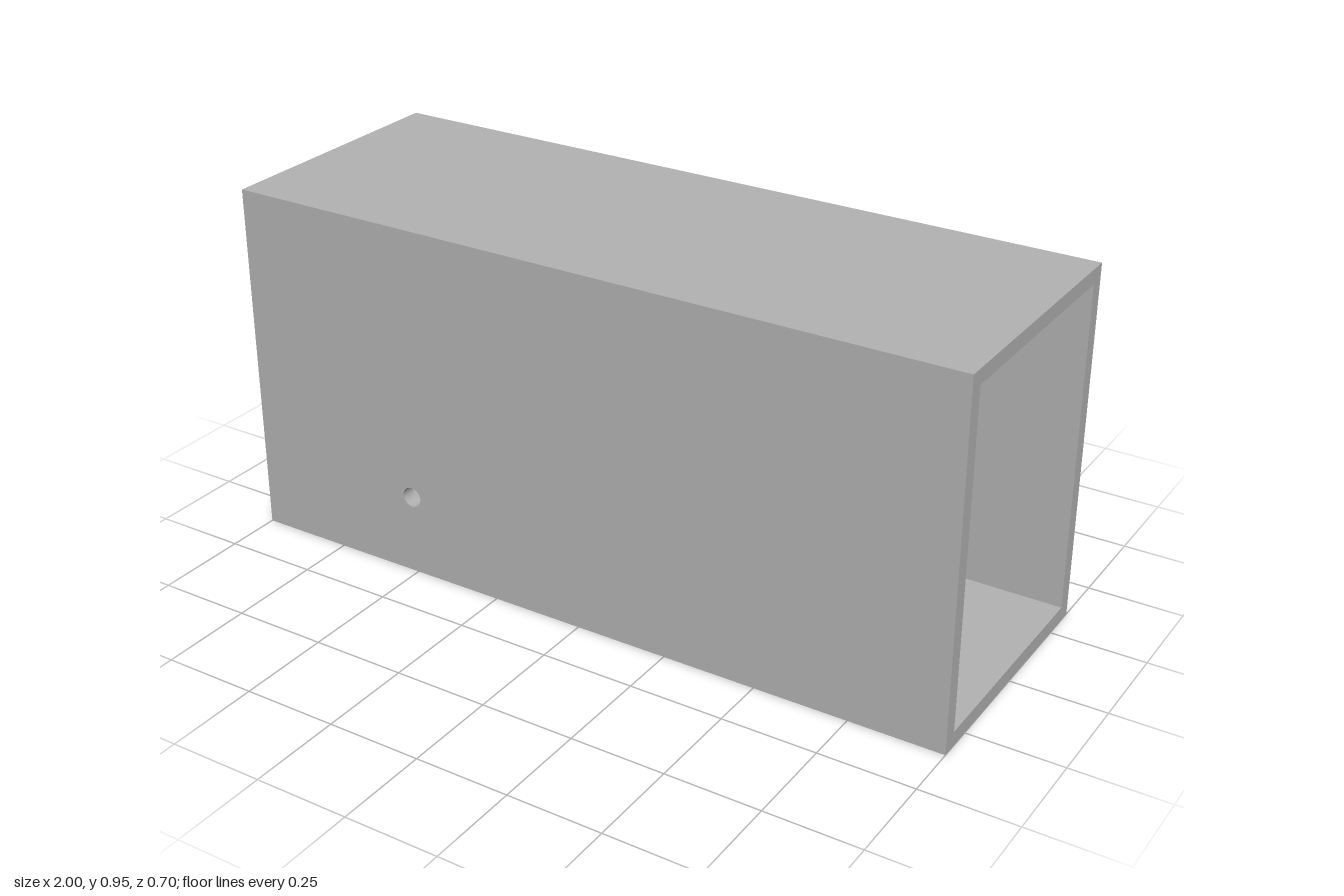
import * as THREE from 'three';

const H = 0.953, D = 0.352, T = 0.04;   // height, half depth, wall thickness
const INNER = -1 + T;                   // inside face of the end wall
const SLEEVE = 0.32;                    // depth of the collar behind the window

const rect = (Type, x0, y0, x1, y1) => {
  const s = new Type();
  s.moveTo(x0, y0);
  s.lineTo(x1, y0);
  s.lineTo(x1, y1);
  s.lineTo(x0, y1);
  s.closePath();
  return s;
};

export function createModel() {
  const group = new THREE.Group();
  const grey = new THREE.MeshStandardMaterial({ color: 0xb2b2b2 });
  grey.name = 'grey';

  const add = (name, geometry) => {
    const mesh = new THREE.Mesh(geometry, grey);
    mesh.name = name;
    group.add(mesh);
    return mesh;
  };
  const box = (name, x0, x1, y0, y1, z0, z1) =>
    add(name, new THREE.BoxGeometry(x1 - x0, y1 - y0, z1 - z0))
      .position.set((x0 + x1) / 2, (y0 + y1) / 2, (z0 + z1) / 2);
  const plate = (shape, depth) =>
    new THREE.ExtrudeGeometry(shape, { depth, bevelEnabled: false, curveSegments: 16 });

  // Long side walls, each with a small round screw hole
  for (const [name, z] of [['frontWall', D - T], ['backWall', -D]]) {
    const wall = rect(THREE.Shape, INNER, 0, 1, H);
    const hole = new THREE.Path();
    hole.absarc(-0.508, 0.217, 0.027, 0, Math.PI * 2, true);
    wall.holes.push(hole);
    add(name, plate(wall, T)).position.z = z;
  }

  // Roof and floor; the +x end stays open
  box('roof', INNER, 1, H - T, H, -D + T, D - T);
  box('floor', INNER, 1, 0, T, -D + T, D - T);

  // End wall with a rectangular window
  const end = rect(THREE.Shape, -D, 0, D, H);
  end.holes.push(rect(THREE.Path, -0.206, 0.292, 0.202, 0.647));
  add('endWall', plate(end, T).rotateY(Math.PI / 2)).position.x = -1;

  // Collar cheeks behind the window, slotted from the end wall inward
  const cheek = new THREE.Shape();
  cheek.moveTo(INNER, 0.312);
  cheek.lineTo(INNER + SLEEVE, 0.312);
  cheek.lineTo(INNER + SLEEVE, 0.647);
  cheek.lineTo(INNER, 0.647);
  const r = 0.037;
  for (const y of [0.532, 0.408]) {
    cheek.lineTo(INNER, y + r);
    cheek.absarc(-0.79 - r, y, r, Math.PI / 2, -Math.PI / 2, true);
    cheek.lineTo(INNER, y - r);
  }
  cheek.closePath();
  add('frontCheek', plate(cheek, T)).position.z = 0.206;
  add('backCheek', plate(cheek, T)).position.z = -0.202 - T;

  // Collar top
  box('collarTop', INNER, INNER + SLEEVE, 0.647, 0.686, -0.242, 0.246);

  // Two support tabs under the window
  box('frontTab', INNER, INNER + 0.12, 0.211, 0.26, 0.12, 0.242);
  box('backTab', INNER, INNER + 0.12, 0.211, 0.26, -0.24, -0.118);

  return group;
}
